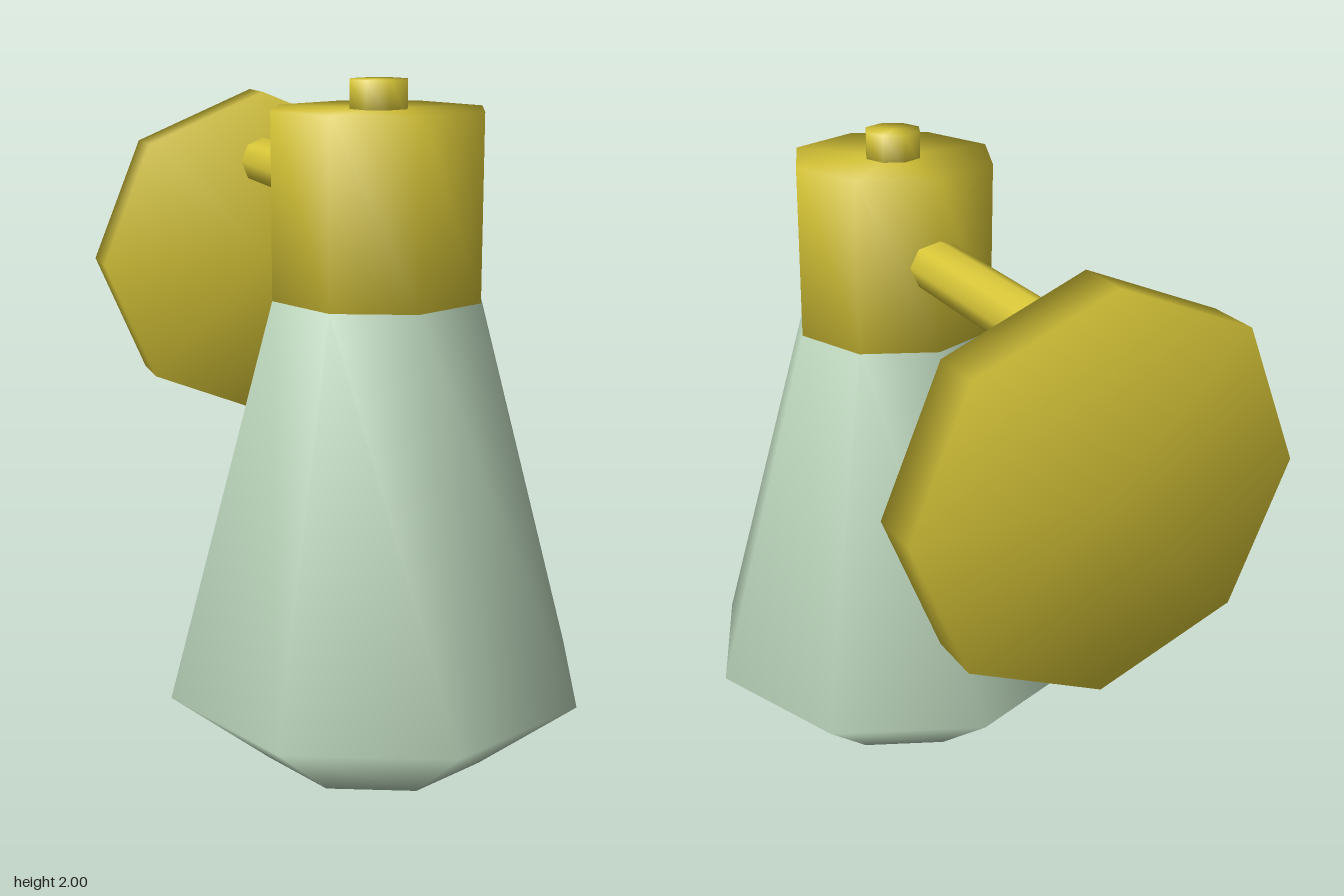
import * as THREE from 'three';
import { mergeVertices } from 'three/addons/utils/BufferGeometryUtils.js';

const SIDES = 8;
const LAMP_Z = 0.32;

// Closed eight-sided solid from [radius, height] points, smooth over every edge
function turned(profile) {
  const points = profile.map(([r, y]) => new THREE.Vector2(r, y));
  const lathe = new THREE.LatheGeometry(points, SIDES);
  lathe.deleteAttribute('normal');
  lathe.deleteAttribute('uv');
  const geometry = mergeVertices(lathe);
  geometry.computeVertexNormals();
  return geometry;
}

const rod = (r, y0, y1) => turned([[0, y0], [r, y0], [r, y1], [0, y1]]);

export function createModel() {
  const brass = new THREE.MeshStandardMaterial({ color: 0xd8c638 });
  brass.name = 'brass';
  const glass = new THREE.MeshStandardMaterial({ color: 0xbcd6bc });
  glass.name = 'paleGreenGlass';

  const group = new THREE.Group();
  group.name = 'wallLamp';
  const add = (name, geometry, material, y, z) => {
    const mesh = new THREE.Mesh(geometry, material);
    mesh.name = name;
    mesh.position.set(0, y, z);
    group.add(mesh);
    return mesh;
  };

  // Lamp head: shade, collar and finial on one vertical axis
  add('shade', turned([[0, 0], [0.34, 0], [0.635, 0.24], [0.315, 1.395], [0, 1.395]]), glass, 0, LAMP_Z);
  add('collar', rod(0.315, 1.395, 1.92), brass, 0, LAMP_Z);
  add('finial', rod(0.087, 1.9, 2), brass, 0, LAMP_Z);

  // Wall bracket: arm and plate along the z axis
  add('arm', rod(0.08, -0.85, 0.1), brass, 1.66, 0).rotation.x = Math.PI / 2;
  add('wallPlate', rod(0.567, -0.96, -0.8), brass, 1.328, 0).rotation.x = Math.PI / 2;

  return group;
}
